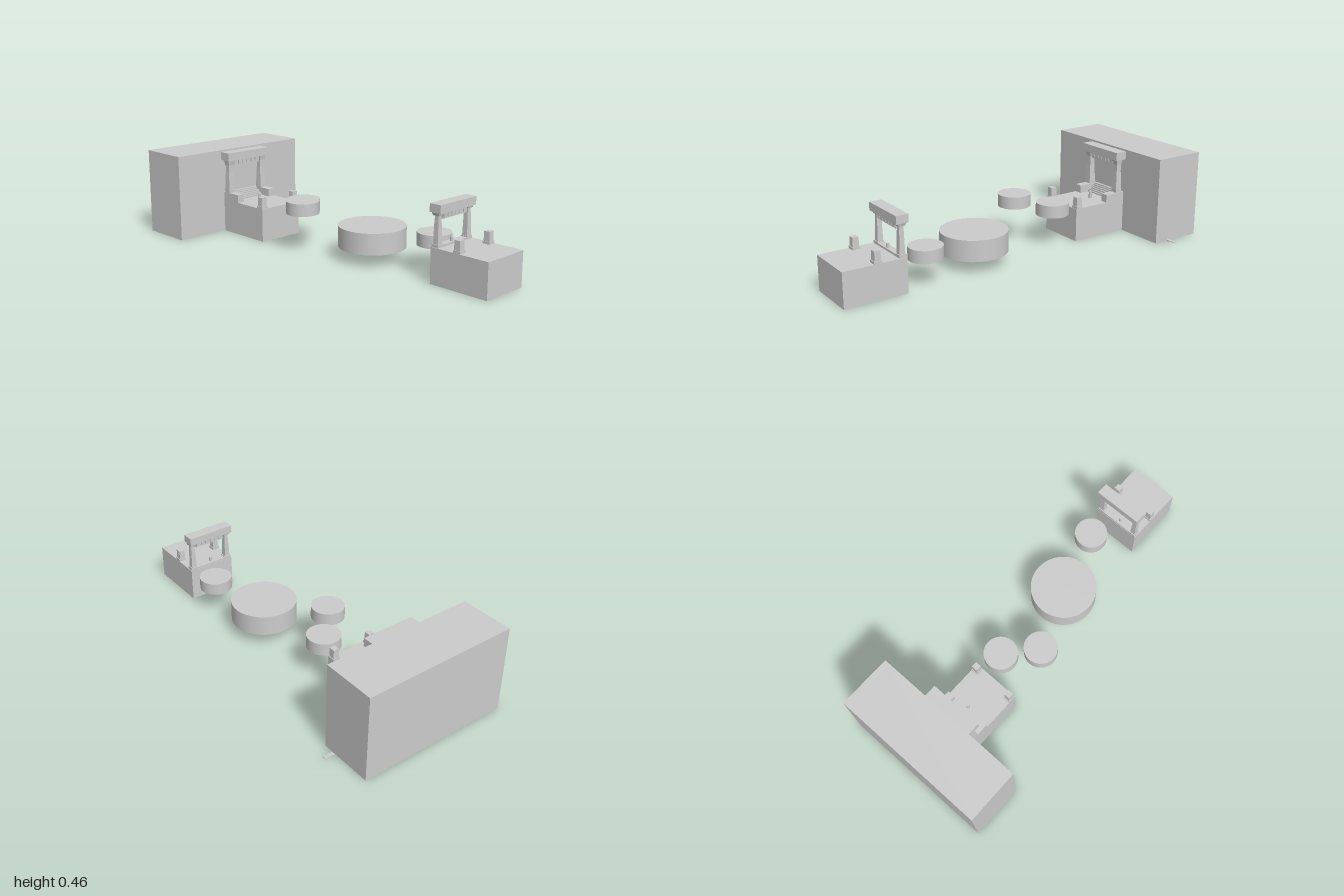
import * as THREE from 'three';

const material = new THREE.MeshStandardMaterial({ color: 0xcccccc });

function add(parent, name, geometry) {
  const mesh = new THREE.Mesh(geometry, material);
  mesh.name = name;
  parent.add(mesh);
  return mesh;
}

// Box given by its limits on each axis
function box(parent, name, [x0, x1], [y0, y1], [z0, z1]) {
  const mesh = add(parent, name, new THREE.BoxGeometry(x1 - x0, y1 - y0, z1 - z0));
  mesh.position.set((x0 + x1) / 2, (y0 + y1) / 2, (z0 + z1) / 2);
  return mesh;
}

// Square block tapering from width w0 at y0 to w1 at y1
function taper(parent, name, x, z, y0, y1, w0, w1) {
  const geometry = new THREE.CylinderGeometry(w1 * Math.SQRT1_2, w0 * Math.SQRT1_2, y1 - y0, 4)
    .rotateY(Math.PI / 4).toNonIndexed();
  geometry.computeVertexNormals();
  add(parent, name, geometry).position.set(x, (y0 + y1) / 2, z);
}

function disc(parent, name, x, z, radius, y0, y1, sides = 48) {
  add(parent, name, new THREE.CylinderGeometry(radius, radius, y1 - y0, sides))
    .position.set(x, (y0 + y1) / 2, z);
}

// Two columns carrying a lintel, with a row of dentils and a thin bar below it
function gate({ x, lintelX, z, half, base, neck, capY, lintelY, top, width, overhang }) {
  const group = new THREE.Group();
  group.name = 'gate';
  const edge = half - 0.019;
  for (const side of [-1, 1]) {
    const cz = z + side * edge;
    taper(group, 'columnBase', x, cz, base, base + 0.015, 0.038, 0.038);
    taper(group, 'columnShaft', x, cz, base + 0.015, neck, width, width * 0.8);
    taper(group, 'columnNeck', x, cz, neck, capY, width * 0.75, width * 0.75);
    taper(group, 'columnCapital', x, cz, capY, lintelY, 0.034, 0.042);
  }
  box(group, 'lintel', lintelX, [lintelY, top], [z - half - overhang, z + half + overhang]);
  const inner = edge - 0.022;
  const count = 6;
  const pitch = (2 * inner) / count;
  for (let i = 0; i < count; i++) {
    const dz = z - inner + pitch * (i + 0.5);
    box(group, 'dentil', [x - 0.016, x + 0.016], [lintelY - 0.027, lintelY], [dz - pitch * 0.42, dz + pitch * 0.42]);
  }
  box(group, 'underBar', [x - 0.01, x + 0.01], [lintelY - 0.034, lintelY - 0.027], [z - inner, z + inner]);
  return group;
}

// Pair of short posts on a platform
function posts(parent, x, z, spread) {
  for (const side of [-1, 1]) {
    taper(parent, 'postFoot', x, z + side * spread, 0.178, 0.19, 0.04, 0.04);
    taper(parent, 'post', x, z + side * spread, 0.19, 0.238, 0.033, 0.031);
  }
}

export function createModel() {
  const model = new THREE.Group();
  model.name = 'arena';

  // Large back block
  box(model, 'backBlock', [-1, -0.72], [0, 0.455], [-0.38, 0.44]);

  // Entrance terrace against the block
  const terrace = new THREE.Group();
  terrace.name = 'entranceTerrace';
  model.add(terrace);
  const tz = 0.017, tHalf = 0.129;
  box(terrace, 'platform', [-0.72, -0.395], [0, 0.178], [tz - tHalf, tz + tHalf]);
  for (const side of [-1, 1]) {
    const z = tz + side * (tHalf - 0.02);
    box(terrace, 'stairCheek', [-0.72, -0.6], [0.178, 0.22], [z - 0.02, z + 0.02]);
  }
  // Steps climbing to the block
  const steps = 6;
  for (let i = 0; i < steps; i++) {
    box(terrace, 'step', [-0.72, -0.655 - i * 0.01], [0.178 + i * 0.007, 0.185 + i * 0.007],
      [tz - tHalf + 0.04, tz + tHalf - 0.04]);
  }
  terrace.add(gate({
    x: -0.688, lintelX: [-0.72, -0.655], z: tz + 0.003, half: tHalf, base: 0.22, neck: 0.33,
    capY: 0.375, lintelY: 0.402, top: 0.445, width: 0.038, overhang: 0.011,
  }));
  posts(terrace, -0.417, tz, 0.109);
  disc(terrace, 'pedestal', -0.587, 0.005, 0.009, 0.178, 0.212, 16);

  // Far terrace with its own gate
  const farTerrace = new THREE.Group();
  farTerrace.name = 'farTerrace';
  model.add(farTerrace);
  box(farTerrace, 'platform', [0.675, 1], [0, 0.178], [-0.22, 0.04]);
  box(farTerrace, 'sill', [0.677, 0.713], [0.178, 0.188], [-0.18, 0]);
  farTerrace.add(gate({
    x: 0.695, lintelX: [0.663, 0.727], z: -0.09, half: 0.126, base: 0.178, neck: 0.305,
    capY: 0.328, lintelY: 0.342, top: 0.383, width: 0.029, overhang: 0.004,
  }));
  posts(farTerrace, 0.822, -0.09, 0.109);
  disc(farTerrace, 'pedestal', 0.7, -0.081, 0.008, 0.178, 0.21, 16);

  // Floating round platforms between the terraces
  const discs = [
    [-0.283, -0.05, 0.087, 0.16, 0.226],
    [-0.137, 0.09, 0.086, 0.198, 0.263],
    [0.213, -0.06, 0.172, 0.066, 0.175],
    [0.54, -0.15, 0.086, 0.123, 0.188],
  ];
  for (const d of discs) disc(model, 'roundPlatform', ...d);

  // Small flat blade with a crossbar behind the block
  const blade = new THREE.Group();
  blade.name = 'blade';
  model.add(blade);
  box(blade, 'bladePlate', [-0.801, -0.783], [0.01, 0.013], [-0.444, -0.391]);
  box(blade, 'crossbar', [-0.801, -0.783], [0.004, 0.013], [-0.402, -0.399]);
  box(blade, 'grip', [-0.796, -0.788], [0.006, 0.008], [-0.41, -0.391]);

  return model;
}
